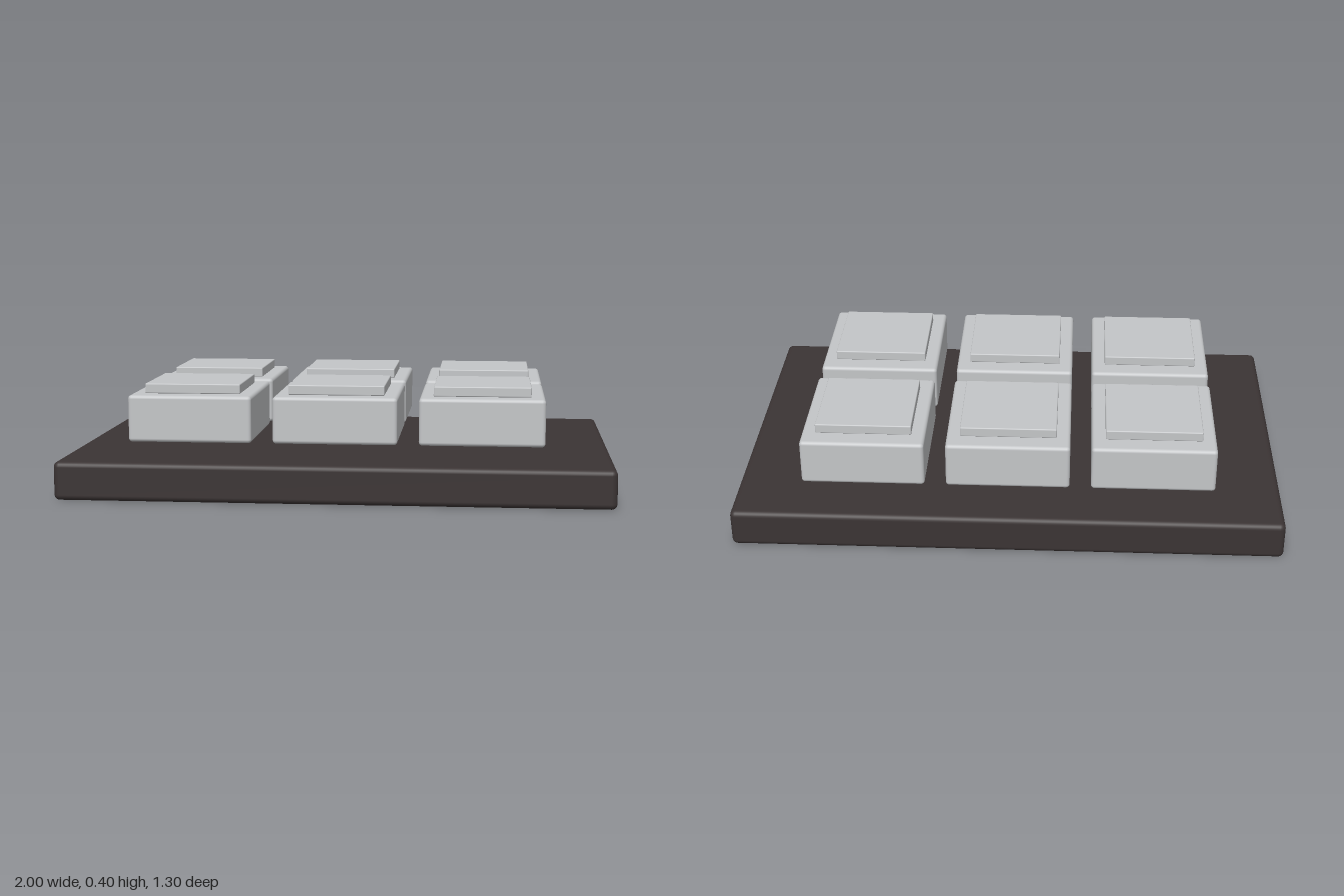
import * as THREE from 'three';
import { RoundedBoxGeometry } from 'three/addons/geometries/RoundedBoxGeometry.js';

export function createModel() {
  const model = new THREE.Group();
  model.name = 'keypad';

  const darkBrown = new THREE.MeshStandardMaterial({ color: 0x3b3434 });
  darkBrown.name = 'dark brown';
  const lightGrey = new THREE.MeshStandardMaterial({ color: 0xc4c6c8 });
  lightGrey.name = 'light grey';

  // Rounded block standing on its given bottom height
  const block = (name, w, h, d, radius, bottom, material, parent) => {
    const mesh = new THREE.Mesh(new RoundedBoxGeometry(w, h, d, 3, radius), material);
    mesh.name = name;
    mesh.position.y = bottom + h / 2;
    parent.add(mesh);
    return mesh;
  };

  // Base plate
  block('basePlate', 2, 0.14, 1.3, 0.02, 0, darkBrown, model);

  // Two rows of three floating keys, each with a raised top pad
  for (const z of [-0.281, 0.281]) {
    for (const x of [-0.527, 0, 0.527]) {
      const key = new THREE.Group();
      key.name = 'key';
      key.position.set(x, 0, z);
      block('keyBody', 0.45, 0.17, 0.488, 0.013, 0.197, lightGrey, key);
      block('keyPad', 0.35, 0.036, 0.35, 0.004, 0.367, lightGrey, key);
      model.add(key);
    }
  }
  return model;
}
